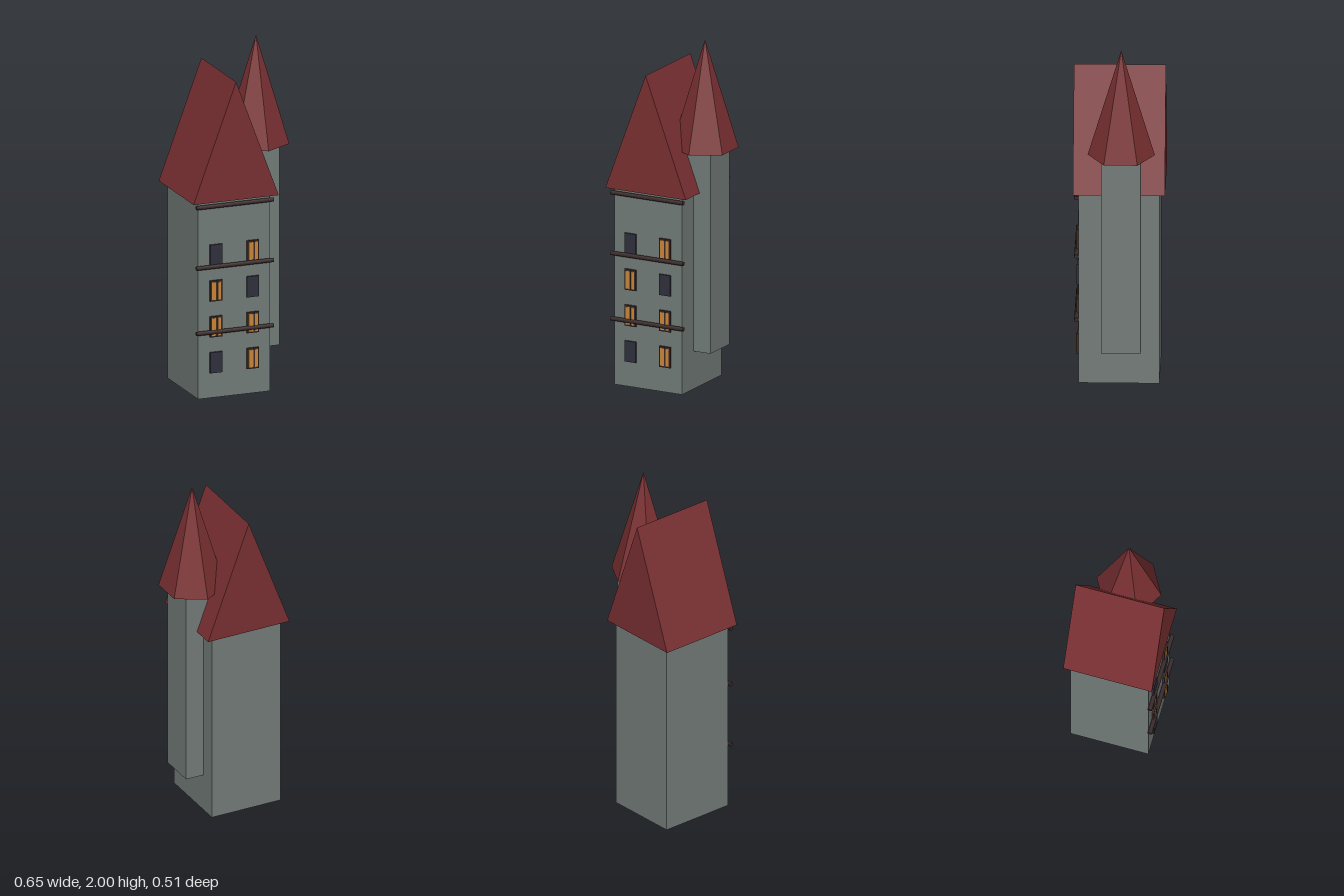
import * as THREE from 'three';

const mat = (name, color) => {
  const m = new THREE.MeshStandardMaterial({ color });
  m.name = name;
  return m;
};

export function createModel() {
  const stone = mat('grey stone', 0x737c79);
  const tile = mat('red roof tile', 0x7a3032);
  const timber = mat('dark timber', 0x3a2a2a);
  const darkGlass = mat('unlit glass', 0x30303c);
  const litGlass = mat('lit glass', 0xcc8638);

  const model = new THREE.Group();
  model.name = 'towerHouse';
  const add = (name, geometry, material, x, y, z, parent = model) => {
    const mesh = new THREE.Mesh(geometry, material);
    mesh.name = name;
    mesh.position.set(x, y, z);
    parent.add(mesh);
    return mesh;
  };
  const box = (name, w, h, d, material, x, y, z, parent) =>
    add(name, new THREE.BoxGeometry(w, h, d), material, x, y, z, parent);

  // Main tower
  const cx = -0.069;
  box('towerWalls', 0.432, 1.14, 0.45, stone, cx, 0.57, 0);

  // Steep gable roof, with the ridge running front to back
  const gable = new THREE.Shape();
  gable.moveTo(-0.256, 0);
  gable.lineTo(0.256, 0);
  gable.lineTo(0, 0.685);
  gable.closePath();
  const roof = new THREE.ExtrudeGeometry(gable, { depth: 0.512, bevelEnabled: false });
  add('gableRoof', roof, tile, cx, 1.14, -0.256);

  // Side turret hung on the wall, with a six-sided spire
  const tx = 0.16, tz = -0.013;
  box('turretWalls', 0.2, 1.155, 0.22, stone, 0.155, 0.7975, tz);
  const spire = new THREE.ConeGeometry(0.187, 0.625, 6).toNonIndexed();
  spire.computeVertexNormals();
  add('turretSpire', spire, tile, tx, 1.6875, tz);

  // Timber bands across the front
  for (const y of [0.383, 0.762, 1.113]) {
    const band = add('timberBand', new THREE.CylinderGeometry(0.0125, 0.0125, 0.462, 8), timber, cx, y, 0.237);
    band.rotation.z = Math.PI / 2;
  }

  // Windows, from the bottom row up: [left column lit, right column lit]
  const rows = [[false, true], [true, true], [true, false], [false, true]];
  rows.forEach((row, r) => row.forEach((lit, c) => {
    const win = new THREE.Group();
    win.name = lit ? 'litWindow' : 'darkWindow';
    win.position.set(c ? 0.041 : -0.179, 0.205 + r * 0.208, 0.225);
    model.add(win);
    if (!lit) {
      box('darkPane', 0.072, 0.12, 0.024, darkGlass, 0, 0, 0, win);
      return;
    }
    box('windowFrame', 0.072, 0.12, 0.024, timber, 0, 0, 0, win);
    box('litPane', 0.054, 0.102, 0.006, litGlass, 0, 0, 0.012, win);
    box('mullion', 0.009, 0.106, 0.008, timber, 0.004, 0, 0.014, win);
  }));

  return model;
}
